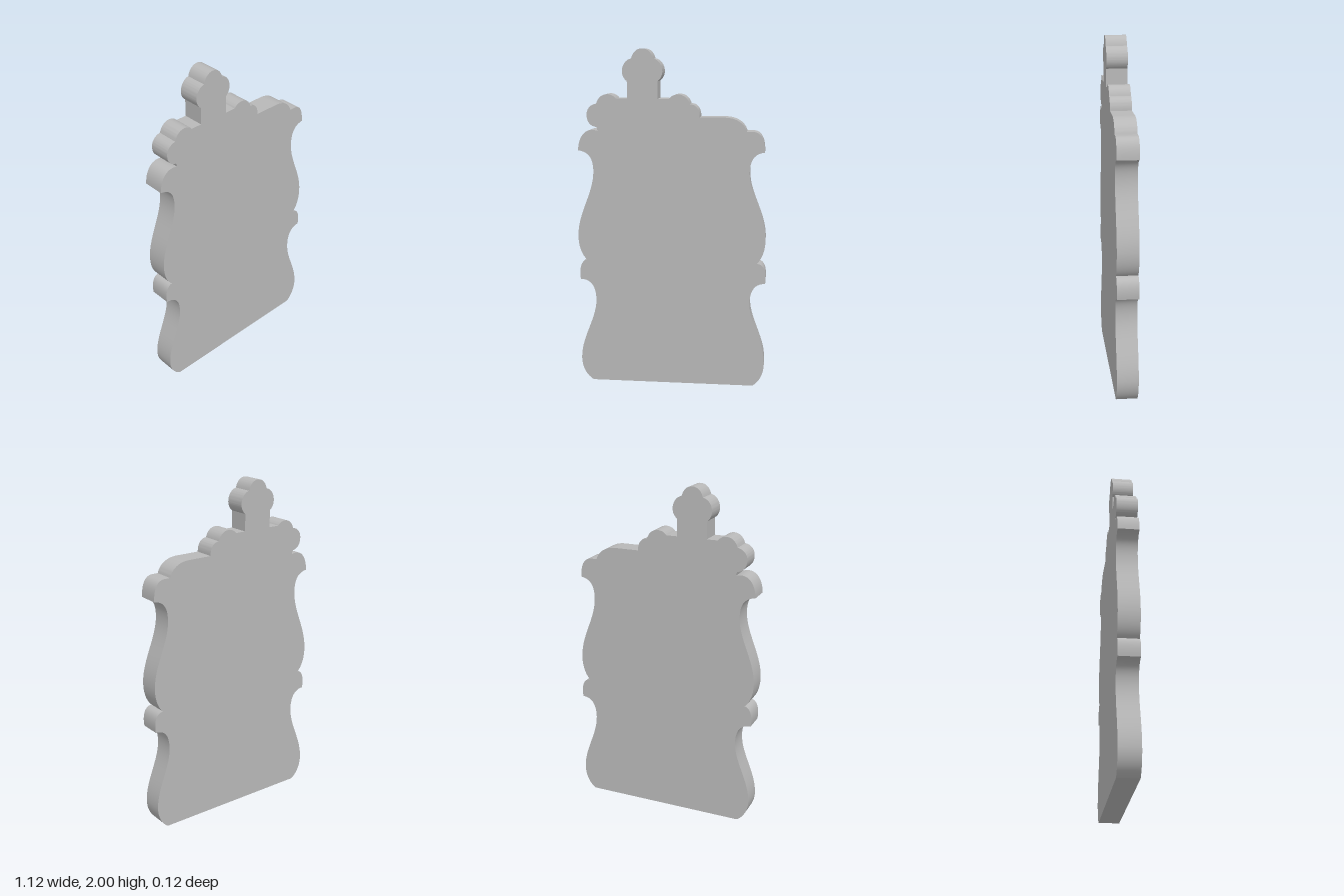
import * as THREE from 'three';
import { toCreasedNormals } from 'three/addons/utils/BufferGeometryUtils.js';

const THICKNESS = 0.124;

// Outline of the plaque, counterclockwise from the bottom left corner
function plaqueOutline() {
  const s = new THREE.Shape();
  const line = (x, y) => s.lineTo(x, y);
  const curve = (...p) => s.bezierCurveTo(...p);

  s.moveTo(-0.48, 0);
  line(0.49, 0);

  // right side: lower bulge and waist, scroll lip, upper bulge and waist
  curve(0.53, 0.025, 0.557, 0.08, 0.557, 0.14);
  curve(0.557, 0.27, 0.465, 0.39, 0.465, 0.51);
  curve(0.465, 0.585, 0.49, 0.635, 0.555, 0.635);
  curve(0.565, 0.7, 0.55, 0.755, 0.503, 0.755);
  curve(0.535, 0.785, 0.553, 0.84, 0.553, 0.9);
  curve(0.553, 1.04, 0.454, 1.16, 0.454, 1.29);
  curve(0.454, 1.365, 0.48, 1.405, 0.54, 1.412);
  curve(0.54, 1.49, 0.515, 1.53, 0.47, 1.53);
  line(0.434, 1.53);

  // right shoulder and two scallops
  curve(0.42, 1.58, 0.37, 1.61, 0.31, 1.61);
  line(0.163, 1.61);
  curve(0.163, 1.65, 0.145, 1.685, 0.105, 1.685);
  curve(0.095, 1.72, 0.07, 1.74, 0.038, 1.74);
  curve(0.015, 1.74, -0.005, 1.73, -0.015, 1.715);

  // finial: square stem with a trefoil head
  line(-0.08, 1.715);
  line(-0.08, 1.815);
  curve(-0.063, 1.828, -0.053, 1.848, -0.053, 1.87);
  curve(-0.053, 1.905, -0.075, 1.938, -0.107, 1.943);
  curve(-0.117, 1.98, -0.14, 2, -0.17, 2);
  curve(-0.2, 2, -0.223, 1.98, -0.233, 1.943);
  curve(-0.265, 1.938, -0.287, 1.905, -0.287, 1.87);
  curve(-0.287, 1.848, -0.277, 1.828, -0.259, 1.815);
  line(-0.259, 1.715);

  // left scallops and notch
  line(-0.325, 1.715);
  curve(-0.335, 1.73, -0.355, 1.74, -0.375, 1.74);
  curve(-0.405, 1.74, -0.43, 1.72, -0.44, 1.685);
  curve(-0.475, 1.68, -0.498, 1.655, -0.498, 1.62);
  curve(-0.498, 1.58, -0.475, 1.552, -0.44, 1.55);
  line(-0.434, 1.527);
  curve(-0.505, 1.552, -0.55, 1.495, -0.552, 1.412);

  // left side: upper waist and bulge, scroll lip, lower waist and bulge
  curve(-0.49, 1.405, -0.463, 1.365, -0.463, 1.29);
  curve(-0.463, 1.16, -0.56, 1.04, -0.56, 0.9);
  curve(-0.56, 0.84, -0.543, 0.785, -0.508, 0.755);
  curve(-0.545, 0.752, -0.56, 0.7, -0.55, 0.635);
  curve(-0.485, 0.635, -0.457, 0.585, -0.457, 0.51);
  curve(-0.457, 0.39, -0.552, 0.27, -0.552, 0.14);
  curve(-0.552, 0.08, -0.525, 0.025, -0.48, 0);
  return s;
}

export function createModel() {
  const grey = new THREE.MeshStandardMaterial({ color: 0xb8b8b8 });
  grey.name = 'grey';

  const extruded = new THREE.ExtrudeGeometry(plaqueOutline(), {
    depth: THICKNESS,
    bevelEnabled: false,
    curveSegments: 14,
  });
  extruded.translate(0, 0, -THICKNESS / 2);

  const plaque = new THREE.Mesh(toCreasedNormals(extruded, 0.5), grey);
  plaque.name = 'plaque';

  const model = new THREE.Group();
  model.name = 'ornamentalPlaque';
  model.add(plaque);
  return model;
}
